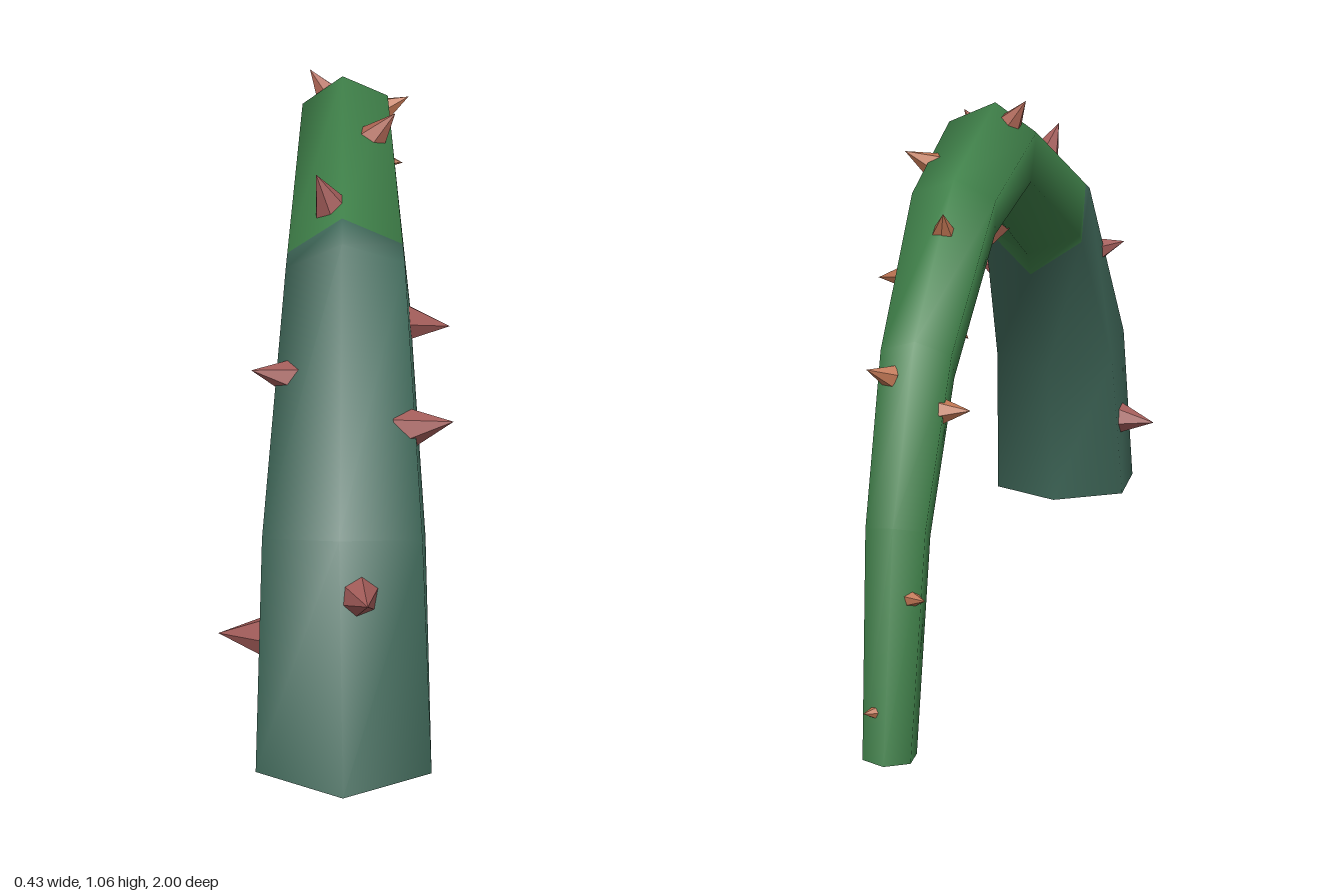
import * as THREE from 'three';

const SIDES = 6, SPLIT_Z = 0.4;

// Vine stations: outer edge z, y; inner edge z, y; centre x; half width; twist in degrees
const STATIONS = [
  [1.0, 0, 0.64, 0, 0.018, 0.157, 0],
  [0.863, 0.427, 0.603, 0.33, 0.018, 0.143, -3],
  [0.485, 0.86, 0.36, 0.66, 0.02, 0.112, -5],
  [-0.13, 1.055, -0.13, 0.855, 0.012, 0.09, -6],
  [-0.47, 0.945, -0.41, 0.805, 0.017, 0.08, -5],
  [-0.77, 0.7, -0.685, 0.6, 0.018, 0.064, -4],
  [-0.925, 0.405, -0.835, 0.365, 0.018, 0.053, -2],
  [-1.0, 0, -0.91, 0, 0.018, 0.043, 0],
];

// Thorn tips: x, y, z
const THORNS = [
  [-0.215, 0.185, 0.73], [0.06, 0.345, 0.955], [0.213, 0.583, 0.68], [-0.155, 0.655, 0.61],
  [0.213, 0.684, 0.43], [-0.042, 0.96, 0.355], [0.11, 1.018, 0.07], [0.077, 0.705, 0.1],
  [-0.068, 1.062, -0.165], [0.143, 0.975, -0.31], [0, 0.765, -0.25], [0.003, 0.898, -0.587],
  [0.135, 0.77, -0.55], [-0.04, 0.665, -0.57], [0.09, 0.655, -0.81], [-0.092, 0.585, -0.79],
  [0.062, 0.405, -0.8], [-0.045, 0.285, -0.945], [0.055, 0.09, -0.99],
];

const centres = STATIONS.map(([oz, oy, iz, iy, x]) => new THREE.Vector3(x, (oy + iy) / 2, (oz + iz) / 2));

// Hexagonal cross-section of one station
function ring([oz, oy, iz, iy, cx, half, twist]) {
  return Array.from({ length: SIDES }, (_, i) => {
    const a = (i / SIDES) * Math.PI * 2 + THREE.MathUtils.degToRad(twist);
    const k = (1 + Math.cos(a)) / 2;
    return new THREE.Vector3(cx + Math.sin(a) * half / 0.866, iy + (oy - iy) * k, iz + (oz - iz) * k);
  });
}

// Tapered open tube, split into two colours where it crosses SPLIT_Z
function vineGeometry() {
  const rings = STATIONS.map(ring);
  const [before, bend, after] = rings.slice(1, 4);
  const seam = bend.map((p, i) => {
    const [a, b] = p.z > SPLIT_Z ? [p, after[i]] : [before[i], p];
    return a.clone().lerp(b, (a.z - SPLIT_Z) / (a.z - b.z));
  });
  const bendFront = bend.map((p, i) => (p.z > SPLIT_Z ? p : seam[i]));
  const bendBack = bend.map((p, i) => (p.z > SPLIT_Z ? seam[i] : p));
  const all = [rings[0], before, bendFront, seam, bendBack, ...rings.slice(3)];

  // Coincident points share one index so shading stays smooth
  const points = [], ids = new Map(), index = [];
  const id = (p) => {
    if (!ids.has(p)) { ids.set(p, points.length); points.push(p); }
    return ids.get(p);
  };
  let seamCount = 0;
  for (let j = 0; j < all.length - 1; j++) {
    if (j === 3) seamCount = index.length;
    for (let i = 0; i < SIDES; i++) {
      const n = (i + 1) % SIDES;
      const a = id(all[j][i]), b = id(all[j][n]), c = id(all[j + 1][n]), d = id(all[j + 1][i]);
      for (const t of [[a, b, c], [a, c, d]]) if (new Set(t).size === 3) index.push(...t);
    }
  }
  const geo = new THREE.BufferGeometry().setFromPoints(points);
  geo.setIndex(index);
  geo.addGroup(0, seamCount, 0);
  geo.addGroup(seamCount, index.length - seamCount, 1);
  geo.computeVertexNormals();
  return geo;
}

// Closest point on the vine's centre line
function nearestCentre(tip) {
  let best = null;
  for (let i = 0; i < centres.length - 1; i++) {
    const p = new THREE.Line3(centres[i], centres[i + 1]).closestPointToPoint(tip, true, new THREE.Vector3());
    if (!best || p.distanceTo(tip) < best.distanceTo(tip)) best = p;
  }
  return best;
}

export function createModel() {
  const material = (name, color, extra) => new THREE.MeshStandardMaterial({ name, color, ...extra });
  const oldStem = material('dark teal stem', 0x40695a, { side: THREE.DoubleSide });
  const youngStem = material('green stem', 0x3f8049, { side: THREE.DoubleSide });
  const thornRed = material('dusty red thorn', 0xa25c59, { flatShading: true });
  const thornBrown = material('red brown thorn', 0xae6655, { flatShading: true });
  const thornOrange = material('orange brown thorn', 0xbd7452, { flatShading: true });

  const model = new THREE.Group();
  model.name = 'thornyVine';
  const vine = new THREE.Mesh(vineGeometry(), [oldStem, youngStem]);
  vine.name = 'vine';
  model.add(vine);

  // Thorns point away from the centre line and shrink towards the vine's thin end
  const thorns = new THREE.Group();
  thorns.name = 'thorns';
  const up = new THREE.Vector3(0, 1, 0);
  THORNS.forEach((t, i) => {
    const tip = new THREE.Vector3(...t);
    const dir = tip.clone().sub(nearestCentre(tip)).normalize();
    const radius = 0.034 + 0.014 * tip.z, length = radius * 2.3;
    const paint = tip.z > 0.2 ? thornRed : tip.z > -0.2 ? thornBrown : thornOrange;
    const thorn = new THREE.Mesh(new THREE.ConeGeometry(radius, length, SIDES), paint);
    thorn.name = `thorn${i + 1}`;
    thorn.quaternion.setFromUnitVectors(up, dir);
    thorn.position.copy(tip).addScaledVector(dir, -length / 2);
    thorns.add(thorn);
  });
  model.add(thorns);
  return model;
}
